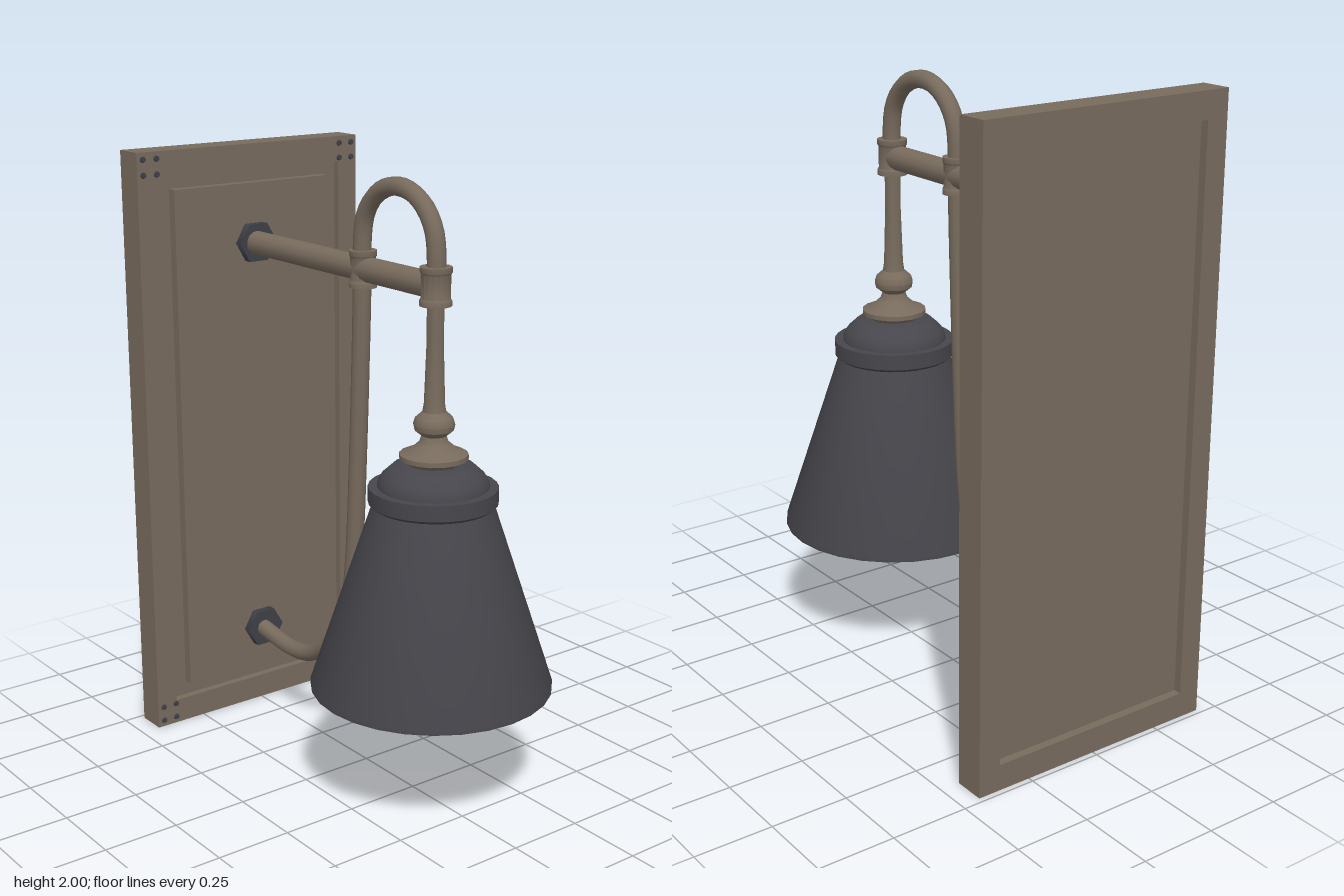
import * as THREE from 'three';
import { toCreasedNormals } from 'three/addons/utils/BufferGeometryUtils.js';

const material = (name, color, side = THREE.FrontSide) => {
  const m = new THREE.MeshStandardMaterial({ color, side });
  m.name = name;
  return m;
};

export function createModel() {
  const bronze = material('bronze', 0x786b5d);
  const iron = material('darkIron', 0x47464c, THREE.DoubleSide);
  const bolt = material('boltIron', 0x3e4047);
  const glass = material('bulbGlass', 0xe4e4e2);

  const model = new THREE.Group();
  model.name = 'wallLamp';

  const add = (parent, name, geometry, mat, x = 0, y = 0, z = 0) => {
    const mesh = new THREE.Mesh(geometry, mat);
    mesh.name = name;
    mesh.position.set(x, y, z);
    parent.add(mesh);
    return mesh;
  };
  const lathe = (profile, sides) => toCreasedNormals(
    new THREE.LatheGeometry(profile.map(([r, y]) => new THREE.Vector2(r, y)), sides), 0.6);

  // Wall plate: a frame around a sunken field with a raised panel
  const plate = new THREE.Group();
  plate.name = 'wallPlate';
  model.add(plate);
  const rectangle = (path, w, h) => path.moveTo(-w, -h).lineTo(w, -h).lineTo(w, h).lineTo(-w, h).closePath();
  const frame = rectangle(new THREE.Shape(), 0.435, 1);
  frame.holes.push(rectangle(new THREE.Path(), 0.36, 0.915));
  add(plate, 'frame', new THREE.ExtrudeGeometry(frame, { depth: 0.102, bevelEnabled: false }), bronze, 0, 1, -0.732);
  add(plate, 'field', new THREE.BoxGeometry(0.73, 1.84, 0.05), bronze, 0, 1, -0.68);
  add(plate, 'raisedPanel', new THREE.BoxGeometry(0.61, 1.735, 0.05), bronze, 0, 1.005, -0.647);

  // Four small studs on each frame corner
  const stud = new THREE.CylinderGeometry(0.009, 0.011, 0.008, 8).rotateX(Math.PI / 2);
  for (const sx of [-1, 1]) for (const sy of [-1, 1]) {
    for (const dx of [-1, 1]) for (const dy of [-1, 1]) {
      add(plate, 'cornerStud', stud, bolt, sx * 0.388 + dx * 0.025, 1 + sy * 0.952 + dy * 0.025, -0.628);
    }
  }

  // Hexagonal wall nuts
  const nut = new THREE.CylinderGeometry(0.072, 0.072, 0.03, 6)
    .rotateY(Math.PI / 6).rotateX(Math.PI / 2).rotateZ(Math.PI / 3);
  for (const y of [1.675, 0.285]) add(model, 'wallNut', nut, bolt, 0, y, -0.608);

  const lamp = new THREE.Group();
  lamp.name = 'lamp';
  lamp.position.x = -0.007;
  model.add(lamp);

  // Straight arm with two upright collars
  add(lamp, 'arm', new THREE.CylinderGeometry(0.04, 0.04, 0.945, 14).rotateX(Math.PI / 2), bronze, 0, 1.675, -0.1275);
  for (const [z, r] of [[0.345, 0.045], [-0.008, 0.04]]) {
    add(lamp, 'collar', lathe([[0, -0.058], [r + 0.004, -0.058], [r + 0.004, -0.042], [r, -0.036],
      [r, 0.036], [r + 0.004, 0.042], [r + 0.004, 0.058], [0, 0.058]], 16), bronze, 0, 1.675, z);
  }

  // Curved pipe: over the arm, then down and back to the wall
  const arch = [];
  for (let i = 0; i <= 8; i++) {
    const a = Math.PI * i / 8;
    arch.push([0.168 + 0.178 * Math.cos(a), 1.775 + 0.172 * Math.sin(a)]);
  }
  const path = [[0.345, 1.66], ...arch, [-0.013, 1.6], [-0.024, 1.3], [-0.038, 1.0], [-0.05, 0.8],
    [-0.072, 0.6], [-0.107, 0.48], [-0.155, 0.4], [-0.28, 0.297], [-0.36, 0.27], [-0.44, 0.265], [-0.61, 0.287]];
  const curve = new THREE.CatmullRomCurve3(path.map(([z, y]) => new THREE.Vector3(0, y, z)));
  add(lamp, 'pipe', new THREE.TubeGeometry(curve, 90, 0.029, 10), bronze);

  // Hanging stem with turned knob and flange
  add(lamp, 'stem', lathe([[0.07, 1.12], [0.085, 1.138], [0.106, 1.148], [0.106, 1.163], [0.07, 1.178],
    [0.045, 1.2], [0.038, 1.22], [0.06, 1.238], [0.064, 1.256], [0.058, 1.275], [0.036, 1.295],
    [0.032, 1.32], [0.026, 1.5], [0.026, 1.65]], 16), bronze, 0, 0, 0.345);

  // Hollow conical shade with a banded cap
  add(lamp, 'shade', lathe([[0, 1.04], [0.165, 1.03], [0.175, 0.99], [0.368, 0.41], [0.381, 0.408], [0.381, 0.42],
    [0.188, 1.0], [0.2, 1.01], [0.2, 1.06], [0.172, 1.06], [0.17, 1.075], [0.158, 1.095],
    [0.125, 1.125], [0.08, 1.132], [0, 1.132]], 28), iron, 0, 0, 0.345);

  // Bulb inside the shade
  add(lamp, 'bulb', lathe([[0, 0.435], [0.067, 0.448], [0.124, 0.486], [0.162, 0.543], [0.175, 0.61],
    [0.162, 0.677], [0.124, 0.745], [0.08, 0.82], [0.06, 0.9], [0.06, 1.04]], 24), glass, 0, 0, 0.345);

  return model;
}
